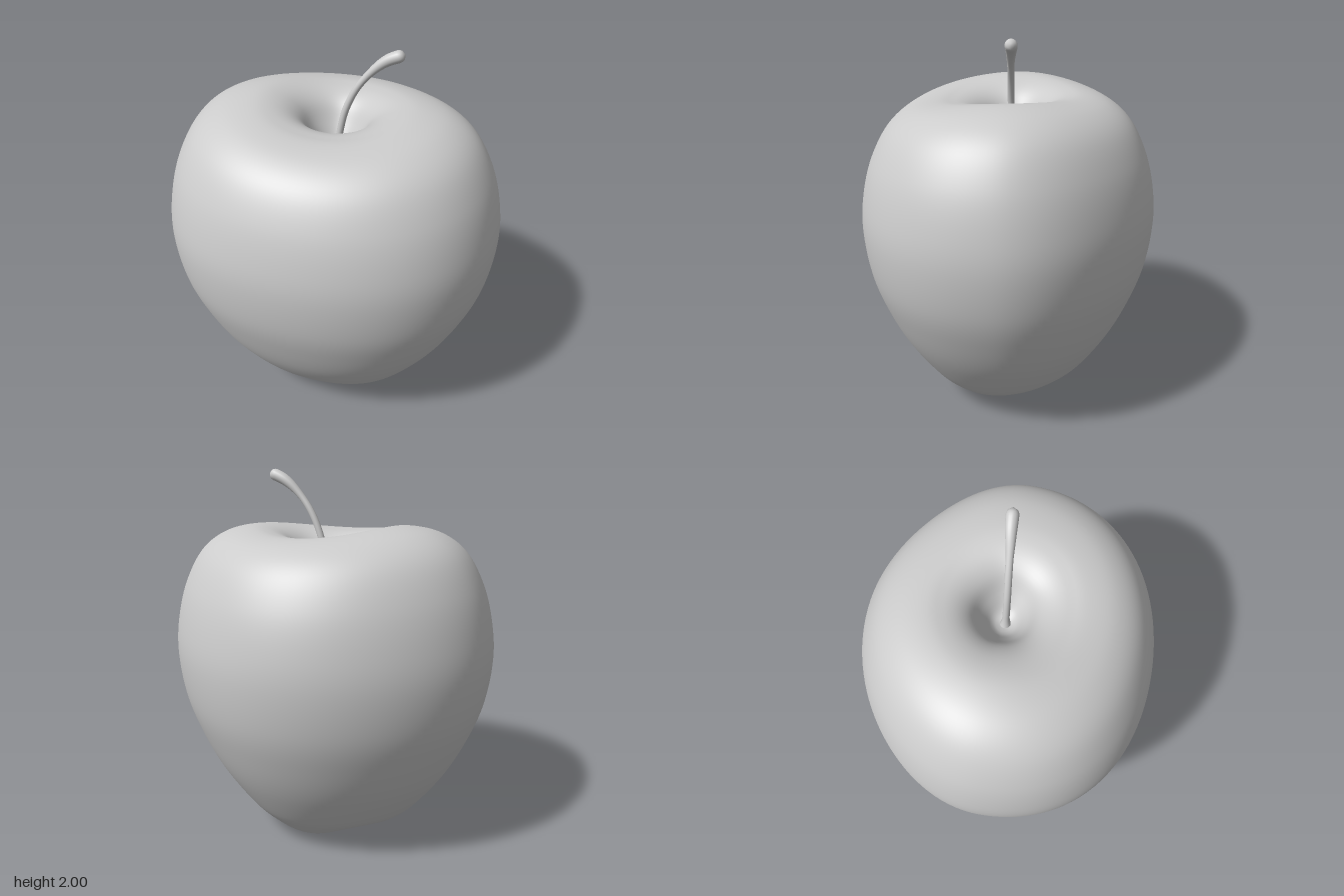
import * as THREE from 'three';
import { mergeVertices } from 'three/addons/utils/BufferGeometryUtils.js';

const material = new THREE.MeshStandardMaterial({ color: 0xcccccc, roughness: 0.7 });

// Weld seams and give the geometry continuous smooth normals
function smooth(geometry) {
  geometry.deleteAttribute('uv');
  geometry.deleteAttribute('normal');
  const welded = mergeVertices(geometry);
  welded.computeVertexNormals();
  return welded;
}

// Bell curve around an angle
function bump(a, center, width) {
  return Math.exp((Math.cos(a - center) - 1) / (width * width));
}

// Fruit: a lathe with a stem hollow and a calyx hollow, pushed out of round
function createFruit() {
  const profile = new THREE.SplineCurve([
    [0, 0.19], [0.09, 0.165], [0.17, 0.09], [0.24, 0.042], [0.32, 0.025], [0.4, 0.046],
    [0.485, 0.1], [0.605, 0.2], [0.77, 0.4], [0.886, 0.6], [0.966, 0.8], [1, 1.03],
    [0.98, 1.23], [0.918, 1.43], [0.81, 1.6], [0.66, 1.695], [0.47, 1.73], [0.33, 1.708],
    [0.22, 1.645], [0.14, 1.54], [0.07, 1.455], [0, 1.43],
  ].map(([r, y]) => new THREE.Vector2(r, y)));
  const geometry = new THREE.LatheGeometry(profile.getSpacedPoints(120), 120);

  const pos = geometry.attributes.position;
  for (let i = 0; i < pos.count; i++) {
    const x = pos.getX(i), y = pos.getY(i), z = pos.getZ(i);
    const r = Math.hypot(x, z);
    const a = Math.atan2(z, x), c = Math.cos(a), s = Math.sin(a);
    const lobe = Math.cos(3 * (a - 2.67));

    // each quarter is a little fuller or flatter than an ellipse
    const quarter = z > 0 ? (x > 0 ? 0.025 : 0.03) : (x > 0 ? -0.04 : -0.025);
    const low = Math.max(0, 1 - y / 0.45) ** 2;
    const k = 1 + quarter * Math.sin(2 * a) ** 2 + 0.035 * low * lobe;

    // uneven upper rim
    const high = THREE.MathUtils.smoothstep(y, 1, 1.7) * Math.min(1, r / 0.4);
    const rim = -0.0125 * (1 + c) - 0.045 * s * s - 0.01 * s;

    // low feet around the calyx, with a notch at the back right and a small one in front
    const ring = y < 0.6 ? Math.exp(-(((r - 0.32) / 0.15) ** 2)) : 0;
    const foot = -0.012 * lobe - 0.012 * Math.cos(a - 2.67)
      + 0.045 * bump(a, -2.45, 0.3) + 0.022 * bump(a, 1.9, 0.3);

    // the stem hollow sits slightly behind the middle
    const hollow = y > 1.3 ? -0.025 * Math.max(0, 1 - r / 0.6) : 0;
    pos.setXYZ(i, x * k * 0.895, y + rim * high + foot * ring, z * k * 0.787 + hollow);
  }
  const mesh = new THREE.Mesh(smooth(geometry), material);
  mesh.name = 'fruit';
  return mesh;
}

// Stem: a curved tube, flared at the root and swollen into a rounded tip
function createStem() {
  const path = new THREE.CatmullRomCurve3([
    [0, 1.4, -0.015], [0.02, 1.54, -0.012], [0.05, 1.67, -0.012], [0.105, 1.79, -0.016],
    [0.18, 1.885, -0.022], [0.25, 1.943, -0.03], [0.336, 1.98, -0.036],
  ].map((p) => new THREE.Vector3(...p)));
  const rings = 64, sides = 20;
  const geometry = new THREE.TubeGeometry(path, rings, 1, sides, false);
  const pos = geometry.attributes.position;
  const v = new THREE.Vector3();
  for (let i = 0; i <= rings; i++) {
    const t = i / rings;
    const center = path.getPointAt(t);
    const swell = 0.018 + 0.02 * Math.max(0, 1 - t / 0.15) ** 2
      + 0.013 * THREE.MathUtils.smoothstep(t, 0.65, 0.95);
    const end = THREE.MathUtils.clamp((t - 0.95) / 0.05, 0, 1);
    const radius = swell * Math.sqrt(1 - end * end);
    for (let j = 0; j <= sides; j++) {
      const n = i * (sides + 1) + j;
      v.fromBufferAttribute(pos, n).sub(center).multiplyScalar(radius).add(center);
      pos.setXYZ(n, v.x, v.y, v.z);
    }
  }
  const mesh = new THREE.Mesh(smooth(geometry), material);
  mesh.name = 'stem';
  return mesh;
}

export function createModel() {
  const group = new THREE.Group();
  group.name = 'apple';
  group.add(createFruit(), createStem());
  return group;
}
